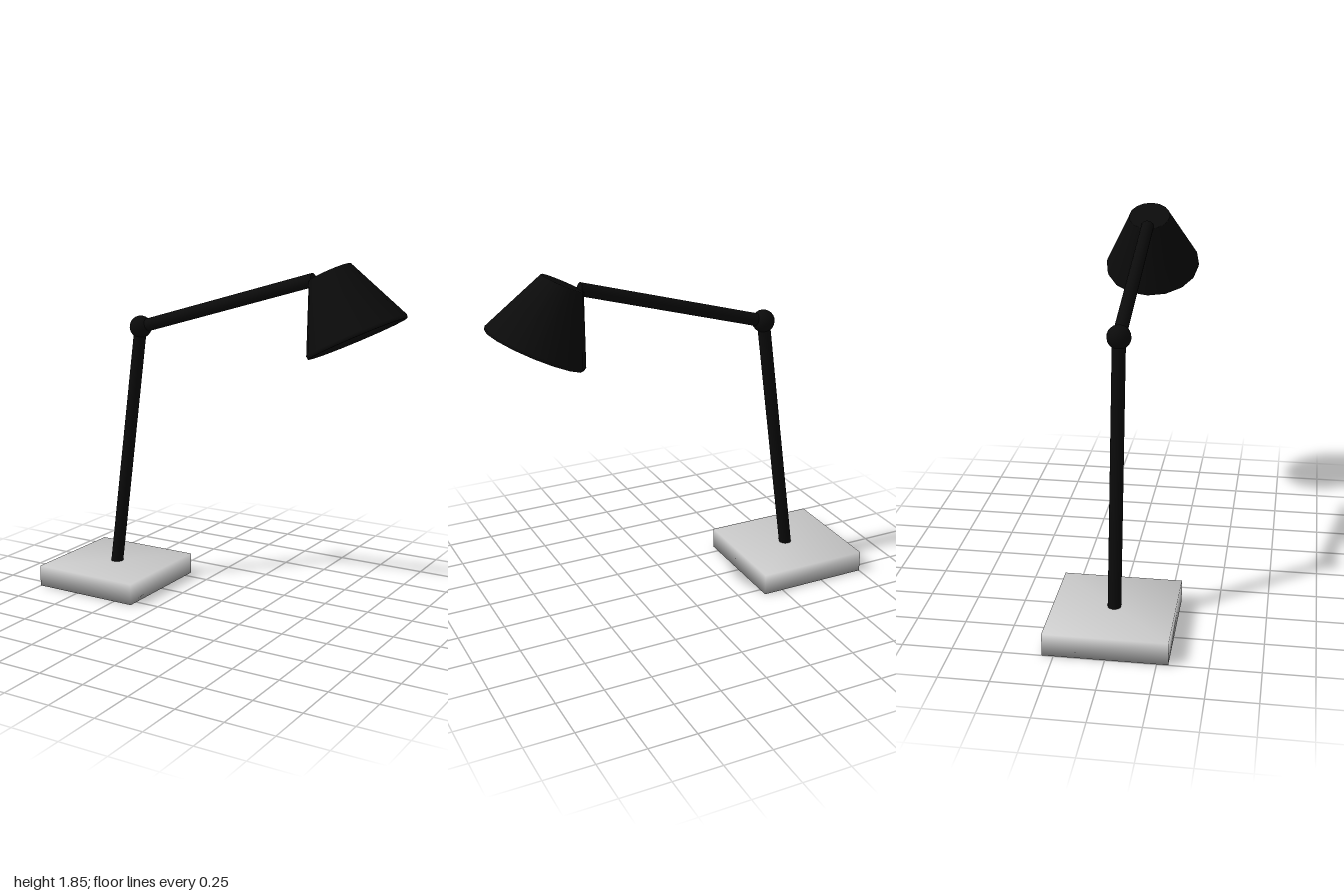
import * as THREE from 'three';
import { mergeVertices } from 'three/addons/utils/BufferGeometryUtils.js';

const v = (x, y, z = 0) => new THREE.Vector3(x, y, z);

// Orient a mesh so that its local +y runs from a to b, centred between them
function span(mesh, a, b) {
  mesh.position.copy(a).add(b).multiplyScalar(0.5);
  mesh.quaternion.setFromUnitVectors(v(0, 1), b.clone().sub(a).normalize());
  return mesh;
}

export function createModel() {
  const lamp = new THREE.Group();
  lamp.name = 'deskLamp';

  const black = new THREE.MeshStandardMaterial({ color: 0x0b0b0b });
  black.name = 'black';
  const blackShell = black.clone();
  blackShell.name = 'black shell';
  blackShell.side = THREE.DoubleSide;
  const grey = new THREE.MeshStandardMaterial({ color: 0xcccccc });
  grey.name = 'light grey';

  const add = (name, geometry, material) => {
    const mesh = new THREE.Mesh(geometry, material);
    mesh.name = name;
    lamp.add(mesh);
    return mesh;
  };

  // Square base, with normals shared across its corners for soft shading
  let slab = new THREE.BoxGeometry(0.612, 0.116, 0.612);
  slab.deleteAttribute('normal');
  slab.deleteAttribute('uv');
  slab = mergeVertices(slab);
  slab.computeVertexNormals();
  add('base', slab, grey).position.set(-0.694, 0.058, 0);

  // Dark pad under the base
  const pad = new THREE.CircleGeometry(0.28, 16, Math.PI * 1.25, Math.PI * 0.62);
  const padMesh = add('basePad', pad, black);
  padMesh.rotation.x = Math.PI / 2;
  padMesh.position.set(-0.694, -0.001, 0);

  // Post and arm meet at the elbow
  const foot = v(-0.697, 0.06);
  const elbow = v(-0.505, 1.46);
  const tip = v(0.523, 1.763);
  for (const [name, a, b] of [['post', foot, elbow], ['arm', elbow, tip]]) {
    const rod = new THREE.CylinderGeometry(0.034, 0.034, a.distanceTo(b), 16);
    span(add(name, rod, black), a, b);
  }
  add('elbowJoint', new THREE.SphereGeometry(0.06, 16, 12), black).position.copy(elbow);

  // Hollow shade: outside from crown to rim, then back up the inside
  const crown = v(0.608, 1.803);
  const mouth = v(0.764, 1.488);
  const h = crown.distanceTo(mouth) / 2;
  const profile = [
    [0, h], [0.112, h], [0.113, h - 0.005],
    [0.263, -h + 0.018], [0.26, -h],
    [0.248, -h], [0.245, -h + 0.018], [0.1, h - 0.015], [0, h - 0.015],
  ].map(([r, y]) => new THREE.Vector2(r, y));
  const shade = add('shade', new THREE.LatheGeometry(profile, 16), blackShell);
  span(shade, mouth, crown);

  return lamp;
}
